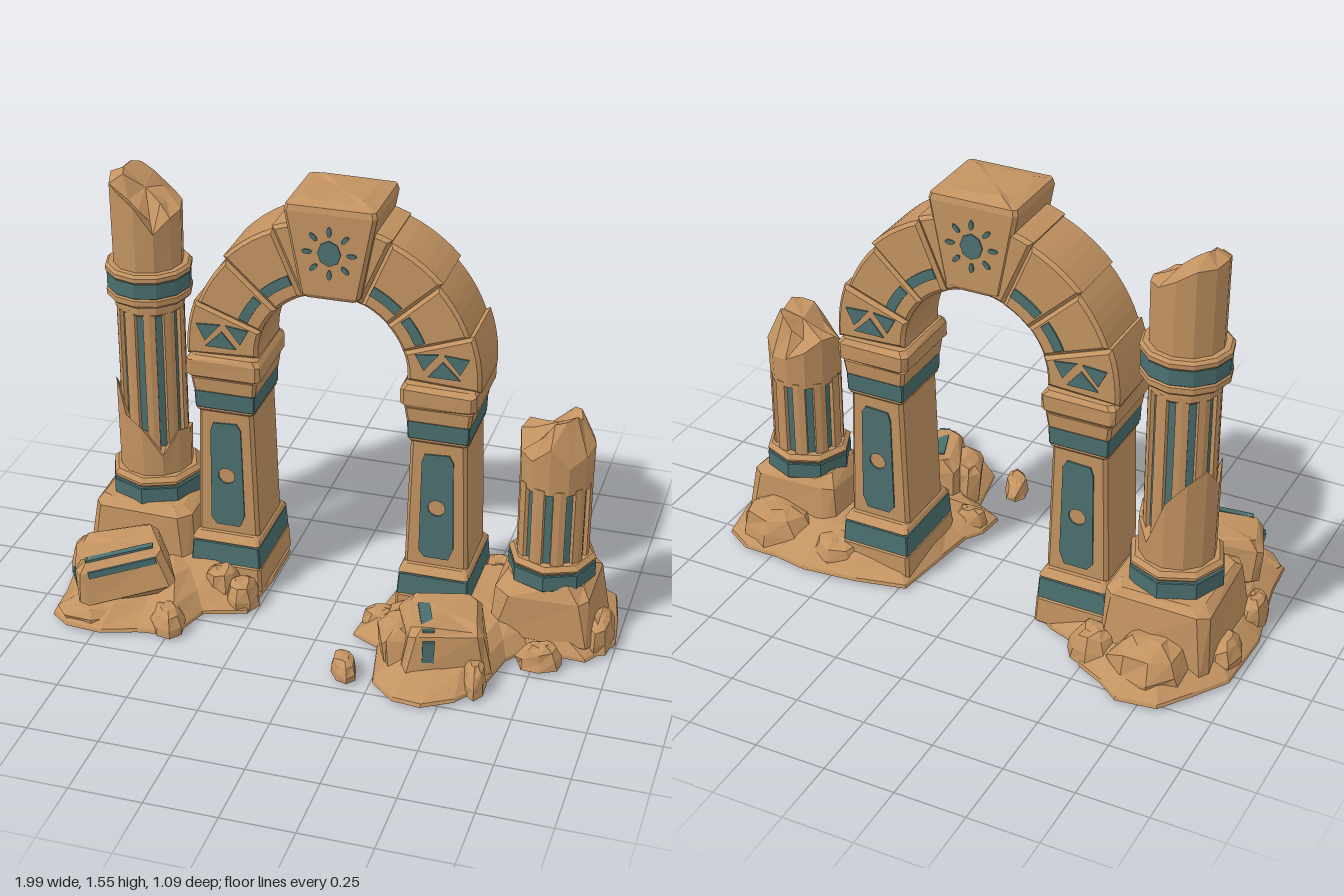
import * as THREE from 'three';

const sand = new THREE.MeshStandardMaterial({ color: 0xc39361 });
sand.name = 'sandstone';
sand.flatShading = true;
const teal = new THREE.MeshStandardMaterial({ color: 0x4b6f6f });
teal.name = 'tealPaint';

let seed = 7;
const rnd = () => ((seed = (seed * 16807) % 2147483647) / 2147483647) * 2 - 1;

function add(parent, name, geometry, material = sand) {
  const mesh = new THREE.Mesh(geometry, material);
  mesh.name = name;
  parent.add(mesh);
  return mesh;
}

function group(parent, name, x = 0, y = 0, z = 0) {
  const g = new THREE.Group();
  g.name = name;
  g.position.set(x, y, z);
  parent.add(g);
  return g;
}

// Closed solid through equal-length rings, counter-clockwise from above, lowest first
function loft(rings) {
  const pos = [], n = rings[0].length;
  const tri = (...p) => p.forEach(v => pos.push(v[0], v[1], v[2]));
  const mid = r => [0, 1, 2].map(k => r.reduce((s, p) => s + p[k], 0) / n);
  const lo = rings[0], hi = rings[rings.length - 1], cl = mid(lo), ch = mid(hi);
  for (let i = 0; i < n; i++) {
    const j = (i + 1) % n;
    tri(cl, lo[j], lo[i]);
    tri(ch, hi[i], hi[j]);
    for (let k = 0; k + 1 < rings.length; k++) {
      const a = rings[k], b = rings[k + 1];
      tri(a[i], a[j], b[j]);
      tri(a[i], b[j], b[i]);
    }
  }
  const g = new THREE.BufferGeometry();
  g.setAttribute('position', new THREE.Float32BufferAttribute(pos, 3));
  g.computeVertexNormals();
  return g;
}

// Chamfered rectangular ring, with optional wear
function rectRing(y, w, d, c = 0.012, wear = 0) {
  const x = w / 2, z = d / 2;
  return [[x, z - c], [x, c - z], [x - c, -z], [c - x, -z], [-x, c - z], [-x, z - c], [c - x, z], [x - c, z]]
    .map(p => [p[0] + rnd() * wear, y + rnd() * wear, p[1] + rnd() * wear]);
}

// Bevelled, optionally tapered block
function slab(y0, y1, w0, d0, w1 = w0, d1 = d0, b = 0.01, wear = 0) {
  return loft([rectRing(y0, w0 - 2 * b, d0 - 2 * b, b, wear), rectRing(y0 + b, w0, d0, b, wear),
    rectRing(y1 - b, w1, d1, b, wear), rectRing(y1, w1 - 2 * b, d1 - 2 * b, b, wear)]);
}

// Round ring; y may be a list of heights
function ring(r, y, n) {
  return Array.from({ length: n }, (_, i) => {
    const a = i / n * Math.PI * 2;
    return [r * Math.cos(a), Array.isArray(y) ? y[i] : y, -r * Math.sin(a)];
  });
}

function drum(r, y0, y1, n = 12, b = 0.01) {
  return loft([ring(r - b, y0, n), ring(r, y0 + b, n), ring(r, y1 - b, n), ring(r - b, y1, n)]);
}

function rock(parent, x, z, rx, rz, h, turn = 0) {
  const rings = [[0, 1], [0.4, 0.96], [0.82, 0.74], [1, 0.4]].map(([y, s]) =>
    ring(s, y * h, 8).map(p => [p[0] * rx * (1 + rnd() * 0.12), y ? p[1] + rnd() * h * 0.07 : 0, p[2] * rz * (1 + rnd() * 0.12)]));
  const m = add(parent, 'rock', loft(rings));
  m.position.set(x, 0, z);
  m.rotation.y = turn;
}

// Low rubble apron rising from a ground outline toward a centre
function mound(parent, cx, cz, outline) {
  const rings = [[0, 1], [0.012, 0.99], [0.065, 0.82], [0.1, 0.55]].map(([y, s]) =>
    outline.map(([x, z]) => [cx + (x - cx) * s, y + (y > 0.02 ? rnd() * 0.015 : 0), cz + (z - cz) * s]));
  add(parent, 'rubbleMound', loft(rings));
}

// Thin painted plates on the front and back faces
function paint(parent, name, shape, front, back) {
  const g = new THREE.ExtrudeGeometry(shape, { depth: 0.006, bevelEnabled: false, curveSegments: 10 });
  add(parent, name, g, teal).position.z = front - 0.002;
  add(parent, name, g, teal).position.z = back - 0.004;
}

const poly = pts => new THREE.Shape(pts.map(p => new THREE.Vector2(p[0], p[1])));

function arcShape(r0, r1, a0, a1) {
  const pts = [], n = 5, rad = Math.PI / 180;
  for (let i = 0; i <= n; i++) { const a = (a0 + (a1 - a0) * i / n) * rad; pts.push([r1 * Math.cos(a), r1 * Math.sin(a)]); }
  for (let i = n; i >= 0; i--) { const a = (a0 + (a1 - a0) * i / n) * rad; pts.push([r0 * Math.cos(a), r0 * Math.sin(a)]); }
  return poly(pts);
}

function pier(parent, name, x) {
  const p = group(parent, name, x, 0, -0.115);
  add(p, 'pierFoot', slab(0, 0.11, 0.27, 0.35, 0.26, 0.34));
  add(p, 'footBand', slab(0.1, 0.185, 0.255, 0.33, 0.245, 0.32, 0.004), teal);
  add(p, 'footLedge', slab(0.18, 0.215, 0.25, 0.325, 0.235, 0.3));
  add(p, 'pierShaft', slab(0.2, 0.71, 0.225, 0.25, 0.195, 0.25, 0.012));
  add(p, 'neckBand', slab(0.705, 0.775, 0.212, 0.265, 0.216, 0.27, 0.004), teal);
  add(p, 'neckLedge', slab(0.69, 0.712, 0.21, 0.265));
  add(p, 'neck', slab(0.765, 0.835, 0.222, 0.275, 0.235, 0.285));
  add(p, 'capital', slab(0.825, 0.91, 0.262, 0.305, 0.265, 0.31, 0.015, 0.003));
  const panel = poly([[-0.06, 0.27], [-0.04, 0.245], [0.045, 0.245], [0.062, 0.29], [0.055, 0.63], [0.04, 0.655], [-0.045, 0.65], [-0.055, 0.62]]);
  panel.holes.push(new THREE.Path().absarc(0, 0.445, 0.03, 0, Math.PI * 2, true));
  paint(p, 'pierPanel', panel, 0.127, -0.127);
}

function flutedShaft(parent, y0, y1, r) {
  const flutes = 10, step = Math.PI * 2 / flutes;
  const section = y => {
    const pts = [];
    for (let i = 0; i < flutes; i++)
      for (const [f, s] of [[0.21, 1], [0.5, 1.02], [0.79, 1], [0.83, 0.86], [1.17, 0.86]]) {
        const a = (i + f) * step + Math.PI / 2;
        pts.push([r * s * Math.cos(a), y, -r * s * Math.sin(a)]);
      }
    return pts;
  };
  add(parent, 'flutedShaft', loft([section(y0), section(y1)]));
  add(parent, 'paintedFlutes', drum(r * 0.89, y0, y1, 30, 0.001), teal);
}

// Broken drum: jagged rim heights with a craggy core
function broken(parent, name, r, y0, rim, core) {
  const n = rim.length;
  add(parent, name, loft([ring(r, y0, n), ring(r * 1.02, rim, n), ring(r * 0.62, core, n)]));
}

function fallenBlock(parent, name, x, y, z, w, h, d, ry, rz) {
  const g = group(parent, name, x, y, z);
  g.rotation.set(0, ry, rz);
  add(g, 'brokenBlock', slab(-h / 2, h / 2, w, d, w * 0.92, d * 0.88, 0.025, 0.012));
  return g;
}

function plate(parent, w, h, d, x, y, z) {
  add(parent, 'paintStripe', new THREE.BoxGeometry(w, h, d), teal).position.set(x, y, z);
}

export function createModel() {
  const model = new THREE.Group();
  model.name = 'ruinedArchway';

  // Ground rubble
  const rubble = group(model, 'rubble');
  mound(rubble, -0.62, -0.05, [[-0.27, 0.18], [-0.25, -0.05], [-0.25, -0.25], [-0.33, -0.3], [-0.44, -0.34], [-0.5, -0.44],
    [-0.6, -0.49], [-0.68, -0.55], [-0.82, -0.53], [-0.9, -0.42], [-0.98, -0.3], [-0.99, -0.05], [-0.96, 0.08],
    [-0.93, 0.24], [-0.92, 0.38], [-0.85, 0.43], [-0.72, 0.44], [-0.6, 0.4], [-0.47, 0.38], [-0.42, 0.23]]);
  mound(rubble, 0.55, -0.02, [[1, 0], [0.98, -0.16], [0.95, -0.3], [0.85, -0.36], [0.72, -0.36], [0.6, -0.38], [0.4, -0.36],
    [0.22, -0.32], [0.19, -0.1], [0.17, 0.04], [0.13, 0.1], [0.12, 0.2], [0.22, 0.25], [0.26, 0.45], [0.35, 0.53],
    [0.45, 0.54], [0.55, 0.48], [0.62, 0.38], [0.66, 0.2], [0.72, 0.12], [0.92, 0.13]]);
  [[-0.73, -0.38, 0.14, 0.13, 0.15, 0.3], [-0.52, -0.36, 0.09, 0.08, 0.12, 0], [-0.92, -0.2, 0.06, 0.1, 0.1, 0],
    [-0.39, 0.1, 0.07, 0.06, 0.13, 0.5], [-0.31, 0.12, 0.06, 0.07, 0.1, 0], [-0.51, 0.33, 0.06, 0.08, 0.08, 0.4],
    [-0.93, 0.05, 0.05, 0.08, 0.11, 0], [-0.78, 0.33, 0.13, 0.09, 0.07, 0.2], [0.15, 0.41, 0.045, 0.085, 0.06, 0.4],
    [0.77, 0.18, 0.08, 0.055, 0.08, 0.2], [0.59, 0.36, 0.04, 0.09, 0.09, 0.2], [0.2, 0.12, 0.07, 0.05, 0.08, 0.3],
    [0.78, -0.24, 0.15, 0.11, 0.14, 0], [0.52, -0.27, 0.1, 0.08, 0.1, 0], [0.94, -0.02, 0.05, 0.12, 0.1, 0]
  ].forEach(a => rock(rubble, ...a));

  // Arch piers
  pier(model, 'leftSidePier', 0.36);
  pier(model, 'rightSidePier', -0.395);

  // Arch stones and their paint
  const arch = group(model, 'arch', -0.015, 0.93, -0.117);
  const b = 0.012;
  for (const s of [1, -1]) {
    [[-3, 20, 0.515], [20, 43, 0.5], [43, 67, 0.515], [67, 90, 0.525]].forEach(([a0, a1, r], i) => {
      const [p, q] = s > 0 ? [a0, a1] : [180 - a1, 180 - a0];
      const g = new THREE.ExtrudeGeometry(arcShape(0.262, r, p, q),
        { depth: 0.23, bevelEnabled: true, bevelThickness: b, bevelSize: b, bevelOffset: -b, bevelSegments: 1 });
      add(arch, 'archStone', g).position.z = -0.115 + (i % 2) * 0.003;
    });
    for (const [a0, a1] of [[23, 40], [46, 65]])
      paint(arch, 'archStripe', s > 0 ? arcShape(0.315, 0.35, a0, a1) : arcShape(0.315, 0.35, 180 - a1, 180 - a0), 0.132, -0.129);
    for (const t of [[[0.39, 0.1], [0.475, 0.095], [0.445, 0.035]], [[0.29, 0.09], [0.37, 0.1], [0.32, 0.035]],
      [[0.385, 0.075], [0.335, 0.015], [0.445, 0.015]]])
      paint(arch, 'archTriangle', poly(t.map(([x, y]) => [s * x, y])), 0.129, -0.129);
  }

  // Keystone with sun motif
  const key = group(model, 'keystone', -0.01, 0, -0.1);
  add(key, 'keystoneBlock', loft([rectRing(1.19, 0.18, 0.27), rectRing(1.205, 0.205, 0.29),
    rectRing(1.495, 0.315, 0.29), rectRing(1.515, 0.305, 0.28), rectRing(1.53, 0.2, 0.2, 0.02, 0.006)]));
  const sun = [...Array(8).keys()].map(i => i * Math.PI / 4);
  paint(key, 'sunDisc', poly(sun.map(a => [0.04 * Math.cos(a), 1.36 + 0.045 * Math.sin(a)])), 0.146, -0.146);
  for (const a of sun)
    paint(key, 'sunRay', new THREE.Shape().absellipse(0.076 * Math.cos(a), 1.36 + 0.076 * Math.sin(a), 0.017, 0.008, 0, Math.PI * 2, false, a), 0.146, -0.146);

  // Tall column
  const tall = group(model, 'tallColumn', -0.72, 0, -0.155);
  add(tall, 'plinth', slab(0, 0.28, 0.4, 0.42, 0.36, 0.38, 0.03, 0.008));
  add(tall, 'baseBand', drum(0.168, 0.27, 0.335, 8, 0.003), teal);
  add(tall, 'baseLedge', drum(0.165, 0.33, 0.37, 8, 0.015));
  flutedShaft(tall, 0.36, 1.01, 0.118);
  broken(tall, 'chippedDrum', 0.13, 0.36, [0.52, 0.5, 0.44, 0.62, 0.7, 0.74, 0.66, 0.72, 0.6, 0.56, 0.45, 0.54],
    Array(12).fill(0.5));
  add(tall, 'shaftCollar', drum(0.123, 0.99, 1.05));
  add(tall, 'lowerRing', drum(0.15, 1.035, 1.075));
  add(tall, 'ringBand', drum(0.147, 1.07, 1.13, 12, 0.003), teal);
  add(tall, 'upperRing', drum(0.152, 1.125, 1.16));
  broken(tall, 'brokenTop', 0.122, 1.15, [1.36, 1.37, 1.38, 1.42, 1.46, 1.46, 1.47, 1.45, 1.44, 1.4, 1.3, 1.35],
    [1.38, 1.4, 1.41, 1.46, 1.49, 1.5, 1.49, 1.48, 1.4, 1.37, 1.33, 1.39]);

  // Short column
  const short = group(model, 'shortColumn', 0.755, 0, -0.05);
  add(short, 'plinth', slab(0, 0.245, 0.37, 0.33, 0.32, 0.3, 0.035, 0.012));
  add(short, 'baseBand', drum(0.152, 0.235, 0.295, 8, 0.003), teal);
  add(short, 'baseLedge', drum(0.152, 0.29, 0.325, 8, 0.015));
  flutedShaft(short, 0.315, 0.61, 0.123);
  broken(short, 'brokenTop', 0.125, 0.595, [0.75, 0.74, 0.7, 0.71, 0.74, 0.78, 0.77, 0.72, 0.71, 0.77, 0.7, 0.73],
    [0.83, 0.85, 0.84, 0.8, 0.77, 0.79, 0.78, 0.74, 0.78, 0.84, 0.85, 0.86]);

  // Fallen blocks
  const fallenRight = fallenBlock(model, 'fallenBlockRightSide', -0.72, 0.155, 0.22, 0.33, 0.17, 0.24, 0.4, 0.2);
  plate(fallenRight, 0.24, 0.025, 0.008, 0.01, 0.045, 0.112);
  plate(fallenRight, 0.24, 0.008, 0.025, 0.01, 0.086, 0.075);
  plate(fallenRight, 0.008, 0.1, 0.03, -0.16, 0, 0.05);
  const fallenLeft = fallenBlock(model, 'fallenBlockLeftSide', 0.45, 0.1, 0.26, 0.3, 0.19, 0.28, 0.35, -0.03);
  plate(fallenLeft, 0.04, 0.14, 0.008, -0.06, 0, 0.136);
  plate(fallenLeft, 0.04, 0.008, 0.17, -0.06, 0.096, 0.03);
  fallenBlock(model, 'fallenChunk', 0.32, 0.08, 0.3, 0.14, 0.16, 0.2, 0.3, 0.15);
  return model;
}
